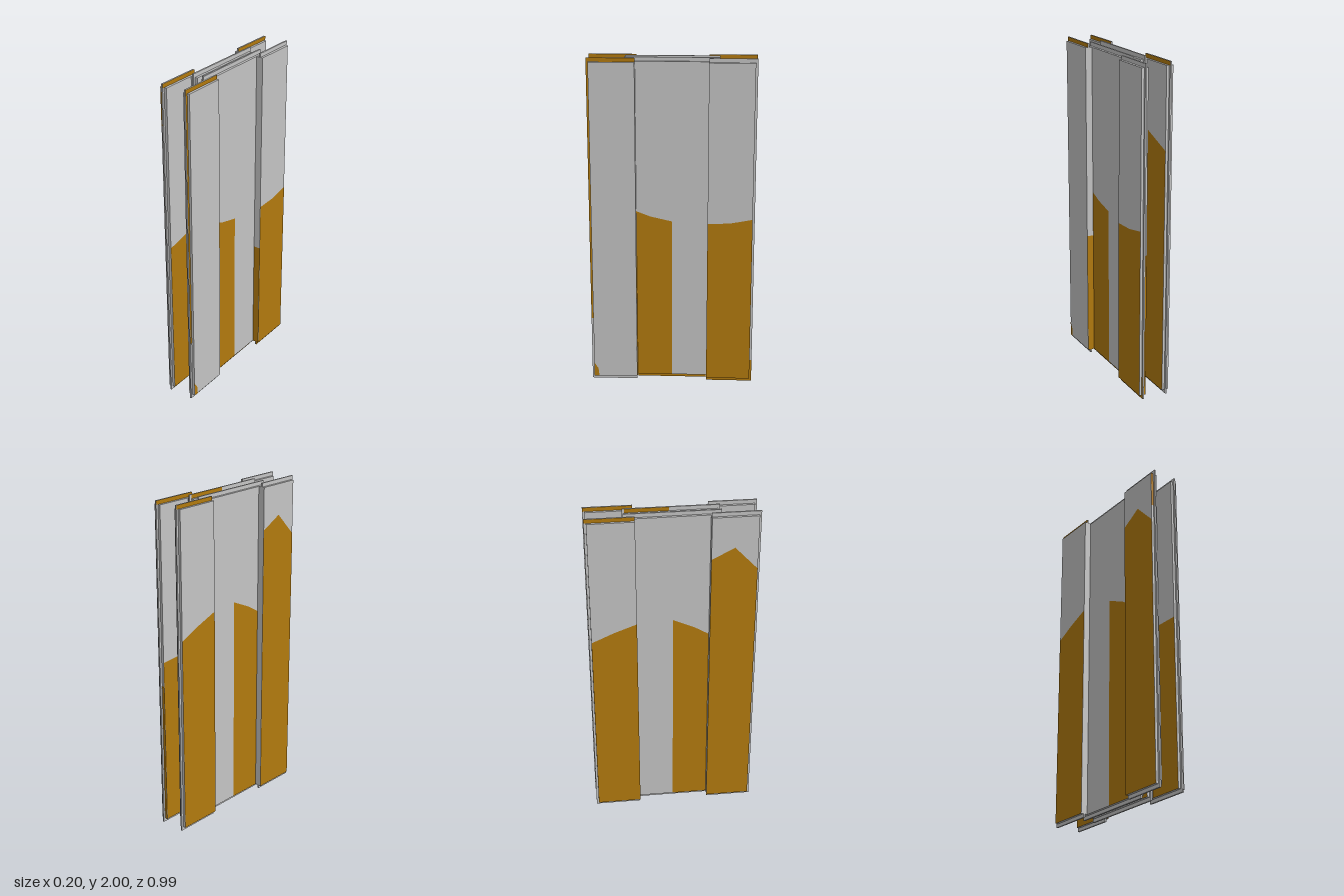
import * as THREE from 'three';

const grey = new THREE.MeshStandardMaterial({ color: 0xc4c4c4 });
grey.name = 'paleGrey';
const ochre = new THREE.MeshStandardMaterial({ color: 0xb27a0e });
ochre.name = 'ochre';

// Common plank measurements
const Y0 = 0.021, Y1 = 1.977, H = 2;
const BODY = 0.0207, TONGUE = 0.005;      // half thicknesses
const OUT_X = 0.0765, IN_X = 0.0342;      // plank centres in x
const OUT = [0.2135, 0.4805], INN = [0, 0.263], LIP = 0.013;
const SKIN = 0.001;                       // paint stands just clear of the plank

function box(name, x0, x1, y0, y1, z0, z1) {
  const mesh = new THREE.Mesh(new THREE.BoxGeometry(x1 - x0, y1 - y0, z1 - z0), grey);
  mesh.position.set((x0 + x1) / 2, (y0 + y1) / 2, (z0 + z1) / 2);
  mesh.name = name;
  return mesh;
}

// Flat painted patch facing +x or -x; corners are [z, y]
function sidePaint(name, x, dir, corners) {
  const shape = new THREE.Shape(corners.map(([z, y]) => new THREE.Vector2(-dir * z, y)));
  const mesh = new THREE.Mesh(new THREE.ShapeGeometry(shape).rotateY(dir * Math.PI / 2), ochre);
  mesh.position.x = x + dir * SKIN;
  mesh.name = name;
  return mesh;
}

// Flat painted strip facing +z or -z
function endPaint(name, z, dir, x0, x1, y0, y1) {
  const geo = new THREE.PlaneGeometry(x1 - x0, y1 - y0);
  if (dir < 0) geo.rotateY(Math.PI);
  const mesh = new THREE.Mesh(geo, ochre);
  mesh.position.set((x0 + x1) / 2, (y0 + y1) / 2, z + dir * SKIN);
  mesh.name = name;
  return mesh;
}

// One plank: thick body with a thin tongue on its top, bottom and outer edge
function plank(name, x, end, [near, far]) {
  const group = new THREE.Group();
  group.name = name;
  const span = (a, b) => (end > 0 ? [a, b] : [-b, -a]);
  group.add(box('plankBody', x - BODY, x + BODY, Y0, Y1, ...span(near, far)));
  const start = near > 0 ? near + 0.001 : near;
  group.add(box('plankTongue', x - TONGUE, x + TONGUE, 0, H, ...span(start, far + LIP)));
  return group;
}

// Ochre lower part of a broad face, from the near edge height to the far edge height
function lowerPaint(x, dir, end, [near, far], hNear, hMid, hFar) {
  const n = end * near, f = end * far;
  return sidePaint('lowerPaint', x + dir * BODY, dir,
    [[n, Y0], [f, Y0], [f, hFar], [(n + f) / 2, hMid], [n, hNear]]);
}

// Ochre band on the side of a tongue
function bandPaint(x, dir, z0, z1, y0, y1) {
  return sidePaint('tonguePaint', x + dir * TONGUE, dir, [[z0, y0], [z1, y0], [z1, y1], [z0, y1]]);
}

export function createModel() {
  const model = new THREE.Group();
  model.name = 'plankWalls';

  // Two walls of four planks, the outer ones stepped outwards
  for (const side of [1, -1]) {
    const sideName = side > 0 ? 'left' : 'right';
    for (const end of [1, -1]) {
      const endName = end > 0 ? 'Front' : 'Back';
      model.add(plank(sideName + endName + 'OuterPlank', side * OUT_X, end, OUT));
      model.add(plank(sideName + endName + 'InnerPlank', side * IN_X, end, INN));
    }
  }

  // Broad faces: x, facing, end, span, heights from near to far
  const faces = [
    [IN_X, 1, 1, INN, 1.02, 1.05, 1.1],
    [OUT_X, 1, -1, OUT, 1.02, 1.025, 1.05],
    [OUT_X, -1, -1, OUT, 1.08, 1.06, 1.05],
    [OUT_X, -1, 1, OUT, 1.05, 1.05, 1.05],
    [-OUT_X, 1, 1, OUT, 1.05, 1.03, 1.0],
    [-OUT_X, 1, -1, OUT, 1.6, 1.55, 1.5],
    [-OUT_X, -1, -1, OUT, 1.33, 1.28, 1.22],
    [-IN_X, -1, 1, INN, 1.32, 1.26, 1.18],
    [-OUT_X, -1, 1, OUT, 1.72, 1.79, 1.65],
    [-IN_X, 1, 1, INN, 1.05, 1.05, 1.05],
    [IN_X, -1, 1, INN, 1.05, 1.05, 1.05],
  ];
  for (const f of faces) model.add(lowerPaint(...f));
  model.add(sidePaint('cornerPaint', OUT_X + BODY, 1,
    [[0.48, Y0], [0.45, Y0], [0.455, 0.07], [0.48, 0.11]]));

  // Tongue bands along the top
  const far = OUT[1] + LIP;
  const tops = [[OUT_X, 1, 1], [OUT_X, -1, -1], [-OUT_X, 1, 1], [-OUT_X, 1, -1], [-OUT_X, -1, -1]];
  for (const [x, dir, end] of tops) model.add(bandPaint(x, dir, end * OUT[0], end * far, Y1, H));
  model.add(bandPaint(IN_X, -1, -0.263, -LIP, Y1, H));

  // Tongue bands along the bottom and outer edges
  model.add(bandPaint(IN_X, 1, -0.21, 0.21, 0, Y0));
  model.add(bandPaint(OUT_X, 1, -far, -OUT[0], 0, Y0));
  model.add(bandPaint(OUT_X, 1, -far, -OUT[1], Y0, 0.14));
  model.add(bandPaint(OUT_X, 1, OUT[1], far, 0.4, Y1));

  // Narrow end faces
  model.add(endPaint('endPaint', -OUT[0], 1, OUT_X - BODY, OUT_X + BODY, Y0, 0.73));
  model.add(endPaint('endPaint', OUT[0], -1, OUT_X - BODY, OUT_X + BODY, Y0, 0.8));
  model.add(endPaint('endPaint', OUT[1], 1, -OUT_X - BODY, -OUT_X - TONGUE, 1.75, Y1));
  model.add(endPaint('endPaint', INN[1], 1, IN_X + TONGUE, IN_X + BODY, 1.55, Y1));
  model.add(endPaint('endPaint', -OUT[1], -1, OUT_X - BODY, OUT_X - TONGUE, Y0, 0.9));
  return model;
}
